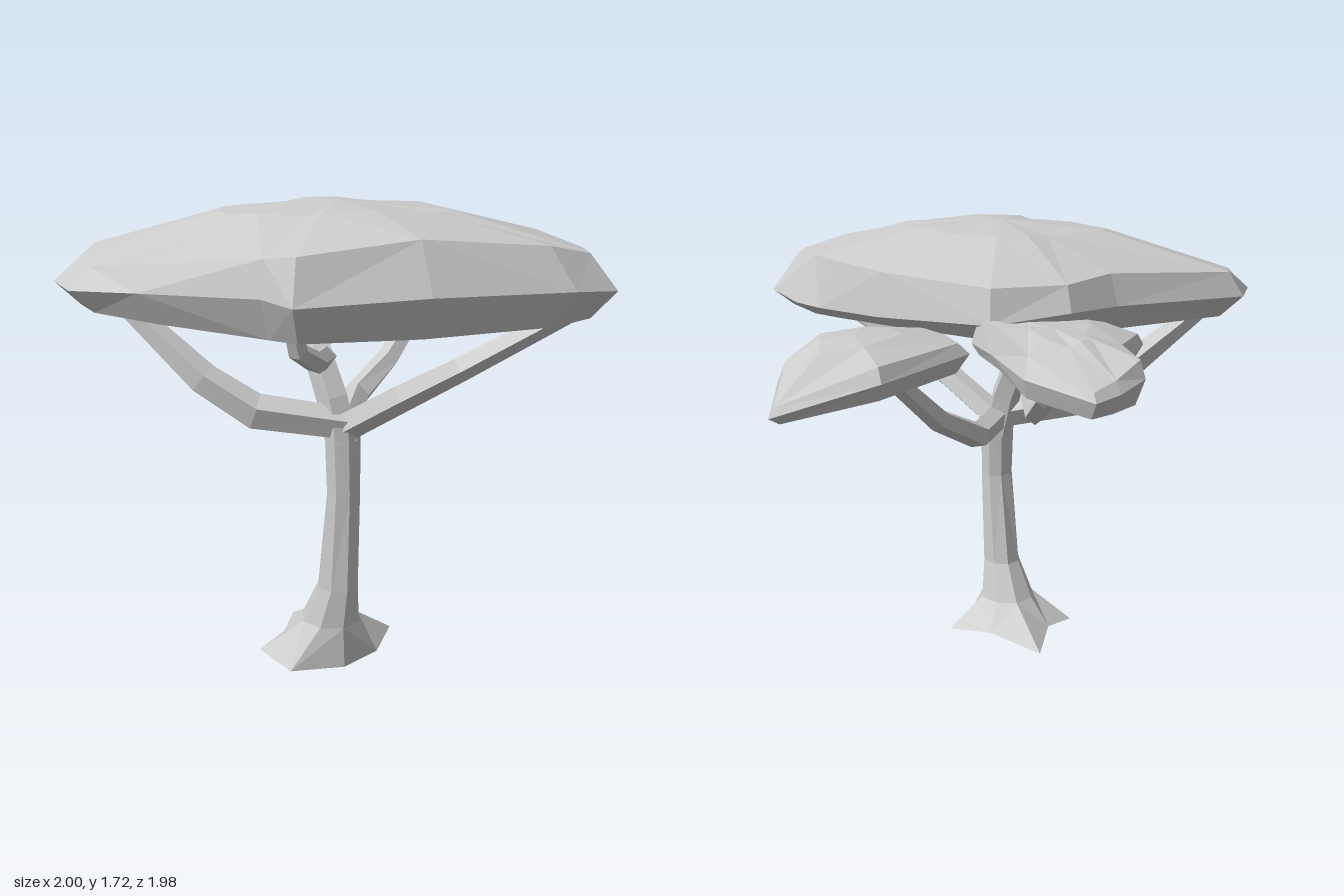
import * as THREE from 'three';

const material = new THREE.MeshStandardMaterial({ color: 0xcccccc, flatShading: true });

// Joins equal-length loops of Vector3 (counter-clockwise seen from the last loop) and caps both ends.
function loft(name, rings, startCap, endCap) {
  const pos = [];
  const tri = (...pts) => pts.forEach(p => pos.push(p.x, p.y, p.z));
  const n = rings[0].length;
  const middle = r => r.reduce((s, p) => s.add(p), new THREE.Vector3()).divideScalar(n);
  const first = rings[0], last = rings[rings.length - 1];
  const start = startCap || middle(first), end = endCap || middle(last);
  for (let j = 0; j < n; j++) {
    const k = (j + 1) % n;
    tri(start, first[k], first[j]);
    tri(end, last[j], last[k]);
    for (let i = 0; i + 1 < rings.length; i++) {
      const a = rings[i], b = rings[i + 1];
      if ((i + j) % 2) { tri(a[j], a[k], b[k]); tri(a[j], b[k], b[j]); }
      else { tri(a[j], a[k], b[j]); tri(a[k], b[k], b[j]); }
    }
  }
  const geo = new THREE.BufferGeometry();
  geo.setAttribute('position', new THREE.Float32BufferAttribute(pos, 3));
  geo.computeVertexNormals();
  const mesh = new THREE.Mesh(geo, material);
  mesh.name = name;
  return mesh;
}

// Tapered five-sided branch through points [x, y, z, radius].
function limb(name, path) {
  const sides = 5;
  const pts = path.map(p => new THREE.Vector3(p[0], p[1], p[2]));
  const u = new THREE.Vector3(0.6, 0.1, 0.8);
  const rings = pts.map((p, i) => {
    const d = pts[Math.min(i + 1, pts.length - 1)].clone().sub(pts[Math.max(i - 1, 0)]).normalize();
    u.addScaledVector(d, -u.dot(d)).normalize();
    const v = d.clone().cross(u);
    return Array.from({ length: sides }, (_, j) => {
      const a = j / sides * Math.PI * 2, r = path[i][3];
      return p.clone().addScaledVector(u, Math.cos(a) * r).addScaledVector(v, Math.sin(a) * r);
    });
  });
  return loft(name, rings);
}

// Flat-topped leaf mass: outline rows are [x, z, rim height, shoulder height, shoulder scale].
function canopy(name, outline, o) {
  const rows = outline.slice().reverse();
  const [cx, cz] = o.center;
  const ring = (scale, height) => rows.map((r, j) => {
    const s = scale(r);
    const x = cx + (r[0] - cx) * s, z = cz + (r[1] - cz) * s;
    return new THREE.Vector3(x, height(r, x, z, j), z);
  });
  const rings = [
    ring(() => 0.5, (r, x, z) => o.bottom(x, z) + 0.01),
    ring(() => o.under, (r, x, z) => o.bottom(x, z)),
    ring(() => 1, r => r[2]),
    ring(r => r[4], r => r[3]),
    ring(() => 0.42, (r, x, z, j) => o.top * 0.8 + r[3] * 0.2 + 0.006 * Math.sin(j * 2.3)),
  ];
  return loft(name, rings,
    new THREE.Vector3(cx, o.bottom(cx, cz) + 0.02, cz), new THREE.Vector3(cx, o.top, cz));
}

export function createModel() {
  const tree = new THREE.Group();
  tree.name = 'tree';

  // Trunk: splayed root loop, then oval sections [x, y, z, half width, half depth]
  const roots = [
    [0.18, 0.06, 0.24], [0.05, 0.08, 0.1], [-0.1, 0.04, -0.07], [-0.21, 0.06, 0.12],
    [-0.34, 0.04, 0.2], [-0.27, 0, 0.34], [-0.08, 0.01, 0.4], [0.07, 0.03, 0.36],
  ].map(p => new THREE.Vector3(...p));
  const sections = [
    [-0.085, 0.165, 0.28, 0.11, 0.12], [-0.075, 0.31, 0.325, 0.075, 0.085],
    [-0.067, 0.68, 0.355, 0.065, 0.055], [-0.07, 0.93, 0.35, 0.07, 0.052],
  ].map(([x, y, z, rx, rz]) => roots.map((_, j) => {
    const a = j / roots.length * Math.PI * 2;
    return new THREE.Vector3(x + Math.cos(a) * rx, y, z - Math.sin(a) * rz);
  }));
  tree.add(loft('trunk', [roots, ...sections]));

  // Branches
  tree.add(
    limb('upperTrunk', [[-0.07, 0.86, 0.35, 0.06], [-0.09, 1.02, 0.31, 0.06], [-0.12, 1.17, 0.25, 0.055],
      [-0.1, 1.29, 0.13, 0.05], [-0.08, 1.43, 0, 0.045]]),
    limb('leftSweepBranch', [[-0.06, 0.93, 0.35, 0.06], [-0.37, 0.985, 0.26, 0.068],
      [-0.53, 1.1, 0.18, 0.06], [-0.8, 1.4, -0.02, 0.035]]),
    limb('frontBranch', [[-0.06, 0.92, 0.35, 0.055], [0.08, 1.06, 0.53, 0.052],
      [0.22, 1.18, 0.68, 0.045], [0.52, 1.39, 0.87, 0.038]]),
    limb('sideBranch', [[-0.06, 0.92, 0.34, 0.055], [0.12, 0.945, 0.04, 0.052],
      [0.3, 1.05, -0.06, 0.045], [0.57, 1.32, -0.2, 0.034]]),
    limb('backBranch', [[-0.11, 1.23, 0.18, 0.042], [-0.08, 1.12, 0, 0.04],
      [-0.02, 1.08, -0.21, 0.038], [0.03, 1.2, -0.44, 0.035], [0.06, 1.35, -0.62, 0.028]]),
    limb('innerBranch', [[-0.1, 1.16, 0.26, 0.042], [-0.2, 1.18, 0.42, 0.04],
      [-0.31, 1.25, 0.53, 0.035], [-0.36, 1.4, 0.57, 0.026]]),
  );

  // Leaf masses
  tree.add(canopy('mainCanopy', [
    [-1, 0.01, 1.45, 1.53, 0.91], [-0.86, -0.2, 1.46, 1.55, 0.94], [-0.27, -0.36, 1.49, 1.6, 0.94],
    [-0.05, -0.47, 1.5, 1.59, 0.95], [0.23, -0.44, 1.47, 1.59, 0.96], [0.5, 0.03, 1.43, 1.59, 0.96],
    [0.65, 0.32, 1.42, 1.6, 0.93], [0.71, 0.46, 1.42, 1.6, 0.9], [0.745, 0.77, 1.42, 1.57, 0.88],
    [0.66, 0.92, 1.45, 1.57, 0.9], [0.46, 0.985, 1.47, 1.61, 0.89], [-0.04, 0.965, 1.48, 1.65, 0.88],
    [-0.46, 0.87, 1.46, 1.61, 0.93], [-0.53, 0.78, 1.48, 1.6, 0.96], [-0.82, 0.42, 1.46, 1.55, 0.94],
    [-0.985, 0.17, 1.44, 1.52, 0.92],
  ], { center: [-0.08, 0.33], under: 0.91, top: 1.72, bottom: (x, z) => 1.385 - 0.045 * z + 0.015 * x }));

  tree.add(canopy('backCanopy', [
    [-0.33, -0.45, 1.37, 1.41, 0.93], [-0.16, -0.69, 1.37, 1.43, 0.92], [-0.14, -0.87, 1.36, 1.42, 0.94],
    [-0.02, -0.95, 1.34, 1.38, 0.93], [0.08, -0.99, 1.33, 1.36, 0.95], [0.225, -0.75, 1.36, 1.43, 0.86],
    [0.25, -0.52, 1.39, 1.48, 0.88], [0.27, -0.36, 1.4, 1.49, 0.9], [0.2, -0.19, 1.4, 1.47, 0.9],
    [-0.2, -0.22, 1.39, 1.45, 0.9],
  ], { center: [0.05, -0.56], under: 0.9, top: 1.475, bottom: (x, z) => Math.min(1.27 + 0.24 * Math.max(0, z + 0.83), 1.36) }));

  tree.add(canopy('sideCanopy', [
    [0.26, -0.31, 1.35, 1.39, 0.9], [0.64, -0.58, 1.34, 1.39, 0.9], [0.995, -0.54, 1.25, 1.28, 0.94],
    [0.91, -0.22, 1.28, 1.36, 0.87], [0.73, 0, 1.32, 1.4, 0.87], [0.48, 0.07, 1.34, 1.39, 0.9],
    [0.28, -0.06, 1.35, 1.4, 0.9],
  ], { center: [0.66, -0.28], under: 0.88, top: 1.44, bottom: x => 1.285 - 0.18 * Math.max(0, x - 0.6) }));

  return tree;
}
